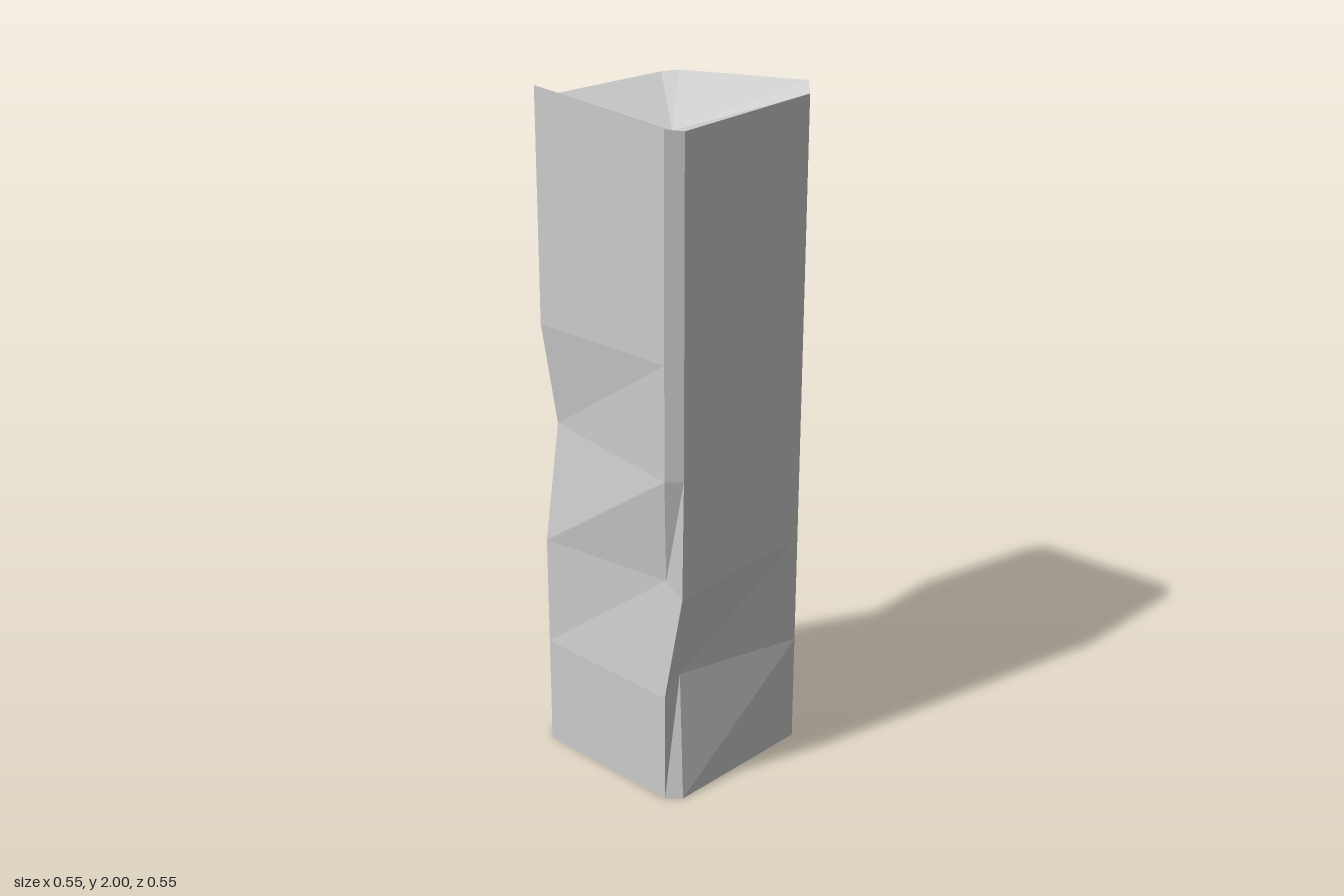
import * as THREE from 'three';

// Rough stone pillar: a chamfered square shaft with chipped corners and a sunken top.
const OUT = 0.277, IN = 0.24, SEGMENTS = 6, SIDES = 8;

// Chamfered square, running from +x towards +z
const SECTION = [
  [OUT, IN], [IN, OUT], [-IN, OUT], [-OUT, IN],
  [-OUT, -IN], [-IN, -OUT], [IN, -OUT], [OUT, -IN],
];

// Uneven heights of the top rim, corner by corner
const RIM = [2, 1.975, 1.955, 1.96, 2, 1.955, 1.955, 1.96];

// Chipped corners: 'ring,corner' -> position
const CHIPS = {
  '1,2': [-0.195, 0.37, 0.22],
  '2,2': [-0.24, 0.64, 0.272],
  '2,3': [-0.24, 0.68, 0.21],
  '2,5': [-0.2, 0.67, -0.21],
  '3,4': [-0.24, 1.03, -0.22],
  '3,5': [-0.22, 1.01, -0.24],
  '4,5': [-0.22, 1.34, -0.24],
  '3,6': [0.2, 1.03, -0.215],
  '3,7': [0.225, 1.05, -0.19],
};

function corner(ring, side) {
  const i = side % SIDES;
  const chip = CHIPS[`${ring},${i}`];
  if (chip) return chip;
  const [x, z] = SECTION[i];
  return [x, ring === SEGMENTS ? RIM[i] : ring / 3, z];
}

function facetedMesh(name, triangles, material) {
  const geometry = new THREE.BufferGeometry();
  geometry.setAttribute('position', new THREE.Float32BufferAttribute(triangles.flat(2), 3));
  geometry.computeVertexNormals();
  const mesh = new THREE.Mesh(geometry, material);
  mesh.name = name;
  return mesh;
}

export function createModel() {
  const stone = new THREE.MeshStandardMaterial({ color: 0xcccccc });
  stone.name = 'stone grey';
  stone.flatShading = true;

  const shaft = [], top = [], base = [];
  for (let i = 0; i < SIDES; i++) {
    // Shaft walls, ring by ring
    for (let k = 0; k < SEGMENTS; k++) {
      const a = corner(k, i), b = corner(k, i + 1);
      const c = corner(k + 1, i + 1), d = corner(k + 1, i);
      shaft.push([a, d, b], [d, c, b]);
    }
    // Sunken top and flat underside
    top.push([[0, 1.87, 0], corner(SEGMENTS, i + 1), corner(SEGMENTS, i)]);
    base.push([[0, 0, 0], corner(0, i), corner(0, i + 1)]);
  }

  const pillar = new THREE.Group();
  pillar.name = 'stonePillar';
  pillar.add(
    facetedMesh('shaft', shaft, stone),
    facetedMesh('sunkenTop', top, stone),
    facetedMesh('underside', base, stone),
  );
  return pillar;
}
